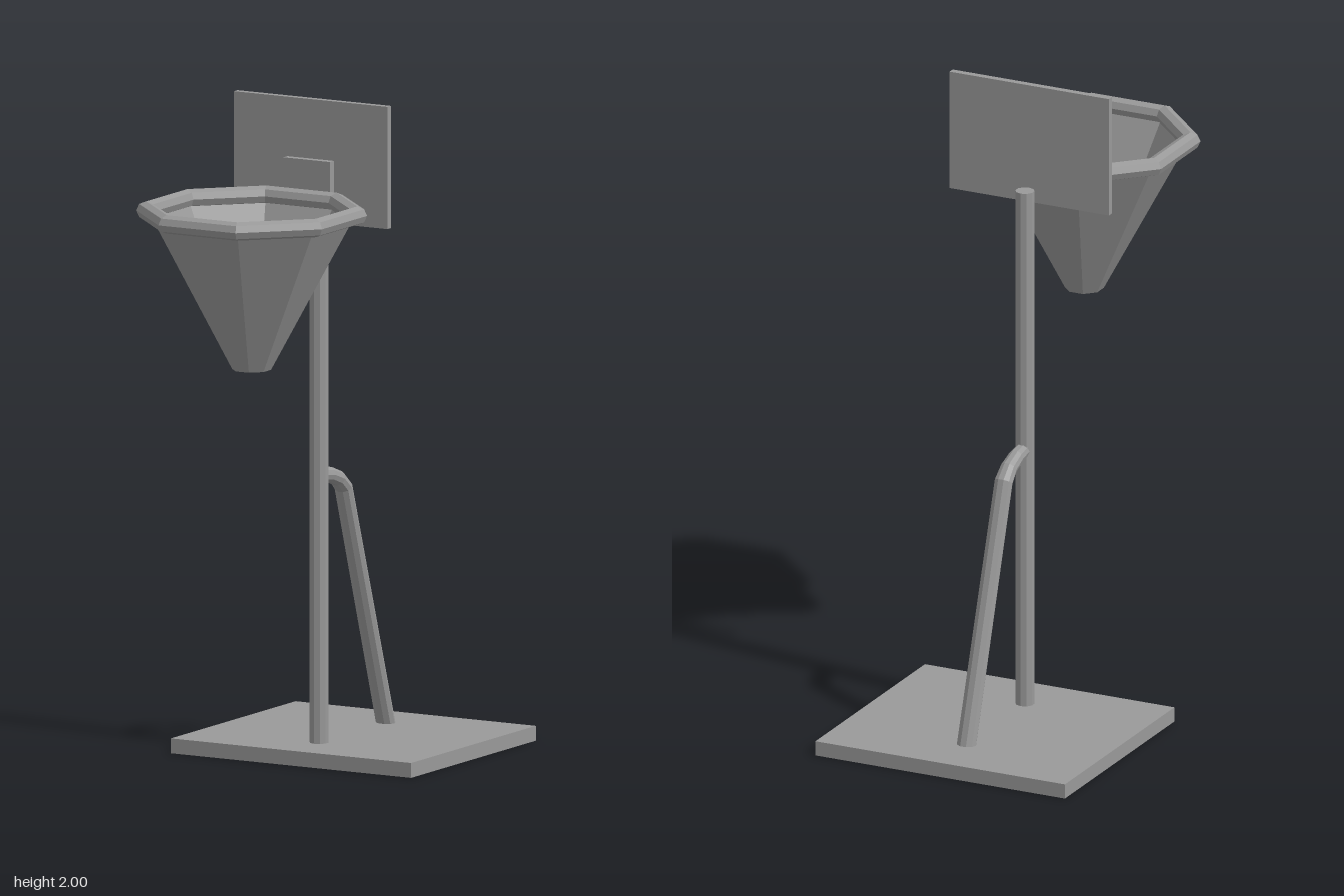
import * as THREE from 'three';

export function createModel() {
  const group = new THREE.Group();
  const grey = new THREE.MeshStandardMaterial({ color: 0x999999 });
  grey.name = 'grey';
  grey.side = THREE.DoubleSide;

  // Adds a faceted part
  function add(name, geometry, x = 0, y = 0, z = 0) {
    const faceted = geometry.index ? geometry.toNonIndexed() : geometry;
    faceted.computeVertexNormals();
    const mesh = new THREE.Mesh(faceted, grey);
    mesh.name = name;
    mesh.position.set(x, y, z);
    group.add(mesh);
    return mesh;
  }

  // Box given by its half width and its y and z ranges
  function addBox(name, halfX, y0, y1, z0, z1) {
    add(name, new THREE.BoxGeometry(halfX * 2, y1 - y0, z1 - z0), 0, (y0 + y1) / 2, (z0 + z1) / 2);
  }

  addBox('base', 0.415, 0, 0.045, -0.645, 0.09);
  addBox('backboard', 0.265, 1.63, 2, -0.047, -0.026);
  addBox('hoopBracket', 0.08, 1.67, 1.82, -0.026, -0.003);

  // Upright pole
  add('pole', new THREE.CylinderGeometry(0.029, 0.029, 1.635, 10), 0, 0.8575, -0.076);

  // Octagonal hoop and net, with flats facing the axes
  const corner = 1 / Math.cos(Math.PI / 8);
  const octagon = (points) => new THREE.LatheGeometry(
    points.map(([r, y]) => new THREE.Vector2(r * corner, y)), 8, Math.PI / 8);
  const rim = [];
  for (let i = 0; i <= 8; i++) {
    const a = i * Math.PI / 4;
    rim.push([0.293 + 0.028 * Math.cos(a), 1.708 + 0.028 * Math.sin(a)]);
  }
  add('hoopRim', octagon(rim), 0, 0, 0.322);
  add('net', octagon([[0.054, 1.235], [0.288, 1.708]]), 0, 0, 0.322);

  // Bent rear brace lofted through oval sections: z, y, half width, tilt
  const sections = [
    [-0.085, 0.855, 0.023, 0.1],
    [-0.135, 0.847, 0.024, 0.2],
    [-0.185, 0.828, 0.026, 0.5],
    [-0.219, 0.797, 0.029, 0.95],
    [-0.471, 0.035, 0.031, 1.25],
  ];
  const sides = 10, depth = 0.024;
  const positions = [], index = [];
  sections.forEach(([z, y, halfWidth, tilt], s) => {
    for (let i = 0; i < sides; i++) {
      const a = i / sides * Math.PI * 2;
      const d = depth * Math.sin(a);
      positions.push(halfWidth * Math.cos(a), y + d * Math.cos(tilt), z - d * Math.sin(tilt));
      if (s === 0) continue;
      const j = (i + 1) % sides, p = (s - 1) * sides, q = s * sides;
      index.push(p + i, p + j, q + i, p + j, q + j, q + i);
    }
  });
  // Wind the faces outward
  for (let i = 0; i < index.length; i += 3) {
    [index[i + 1], index[i + 2]] = [index[i + 2], index[i + 1]];
  }
  const brace = new THREE.BufferGeometry();
  brace.setAttribute('position', new THREE.Float32BufferAttribute(positions, 3));
  brace.setIndex(index);
  add('rearBrace', brace);

  return group;
}
